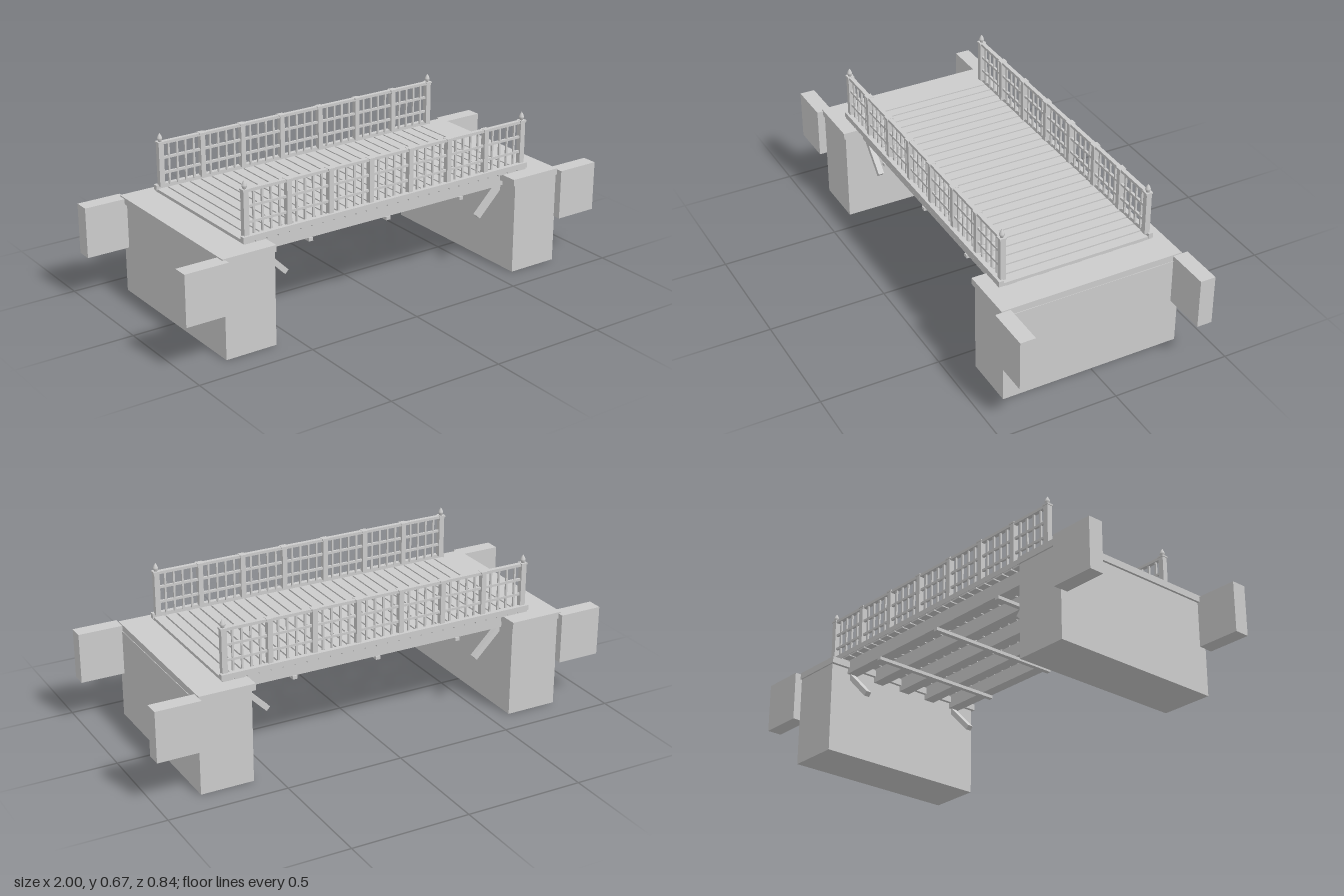
import * as THREE from 'three';

const mat = new THREE.MeshStandardMaterial({ color: 0xcccccc });

function add(parent, name, geometry, x = 0, y = 0, z = 0) {
  const mesh = new THREE.Mesh(geometry, mat);
  mesh.name = name;
  mesh.position.set(x, y, z);
  parent.add(mesh);
  return mesh;
}

// Box given by its extents along each axis
function box(parent, name, [x0, x1], [y0, y1], [z0, z1]) {
  return add(parent, name, new THREE.BoxGeometry(x1 - x0, y1 - y0, z1 - z0),
    (x0 + x1) / 2, (y0 + y1) / 2, (z0 + z1) / 2);
}

// Box given by its centre in x and z, its vertical extent and its widths
function upright(parent, name, x, z, y0, y1, wx, wz = wx) {
  return box(parent, name, [x - wx / 2, x + wx / 2], [y0, y1], [z - wz / 2, z + wz / 2]);
}

function createAbutment(s) {
  const g = new THREE.Group();
  g.name = s > 0 ? 'leftAbutment' : 'rightAbutment';
  upright(g, 'abutmentWall', s * 0.702, 0, 0, 0.39, 0.224, 0.772);
  upright(g, 'abutmentCap', s * 0.7 - 0.006, 0, 0.39, 0.418, 0.236, 0.786);
  for (const t of [-1, 1]) {
    upright(g, 'wingWall', s * 0.906, t * 0.387, 0.2, 0.413, 0.188, 0.065);
    // slanted strut reaching out from the wall
    const strut = add(g, 'strut', new THREE.BoxGeometry(0.18, 0.022, 0.025), s * 0.54, 0.306, t * 0.28);
    strut.rotation.z = s * Math.PI / 4;
  }
  return g;
}

function createDeck() {
  const g = new THREE.Group();
  g.name = 'deck';
  const count = 27, start = -0.697, pitch = 1.387 / count;
  for (let i = 0; i < count; i++) {
    upright(g, 'plank', start + (i + 0.5) * pitch, 0, 0.425, 0.438, pitch - 0.007, 0.672);
  }
  for (let i = -2; i <= 2; i++) {
    box(g, 'stringer', [-0.685, 0.68], [0.366, 0.425], [i * 0.14 - 0.025, i * 0.14 + 0.025]);
  }
  for (const x of [-0.375, -0.004, 0.367]) {
    upright(g, 'crossTie', x, 0, 0.352, 0.366, 0.02, 0.62);
  }
  return g;
}

function createRailing(s) {
  const g = new THREE.Group();
  g.name = s > 0 ? 'frontRailing' : 'backRailing';
  const z = s * 0.316, first = -0.675, bay = 0.1923, posts = 8;
  const last = first + bay * (posts - 1);

  upright(g, 'curb', -0.003, s * 0.328, 0.432, 0.454, 1.39, 0.02);
  box(g, 'topRail', [first, last], [0.626, 0.638], [z - 0.009, z + 0.009]);
  for (const y of [0.567, 0.503]) {
    box(g, 'latticeRail', [first, last], [y - 0.005, y + 0.005], [z - 0.005, z + 0.005]);
  }

  // pointed bud on the end posts
  const bud = new THREE.LatheGeometry([
    [0, 0], [0.007, 0], [0.007, 0.004], [0.011, 0.011], [0.0105, 0.016], [0.006, 0.027], [0, 0.036],
  ].map(([r, y]) => new THREE.Vector2(r, y)), 16);

  for (let i = 0; i < posts; i++) {
    const x = first + i * bay;
    const end = i === 0 || i === posts - 1;
    upright(g, 'post', x, z, 0.45, 0.632, end ? 0.023 : 0.021, 0.023);
    upright(g, 'postCap', x, z, 0.632, 0.639, 0.029);
    if (end) add(g, 'finial', bud, x, 0.638, z);
    if (i === posts - 1) continue;
    for (let k = 1; k <= 4; k++) {
      upright(g, 'baluster', x + bay * k / 5, z, 0.45, 0.628, 0.008);
    }
  }
  return g;
}

export function createModel() {
  const model = new THREE.Group();
  model.name = 'footbridge';
  model.add(createDeck());
  for (const s of [-1, 1]) model.add(createAbutment(s), createRailing(s));
  return model;
}
